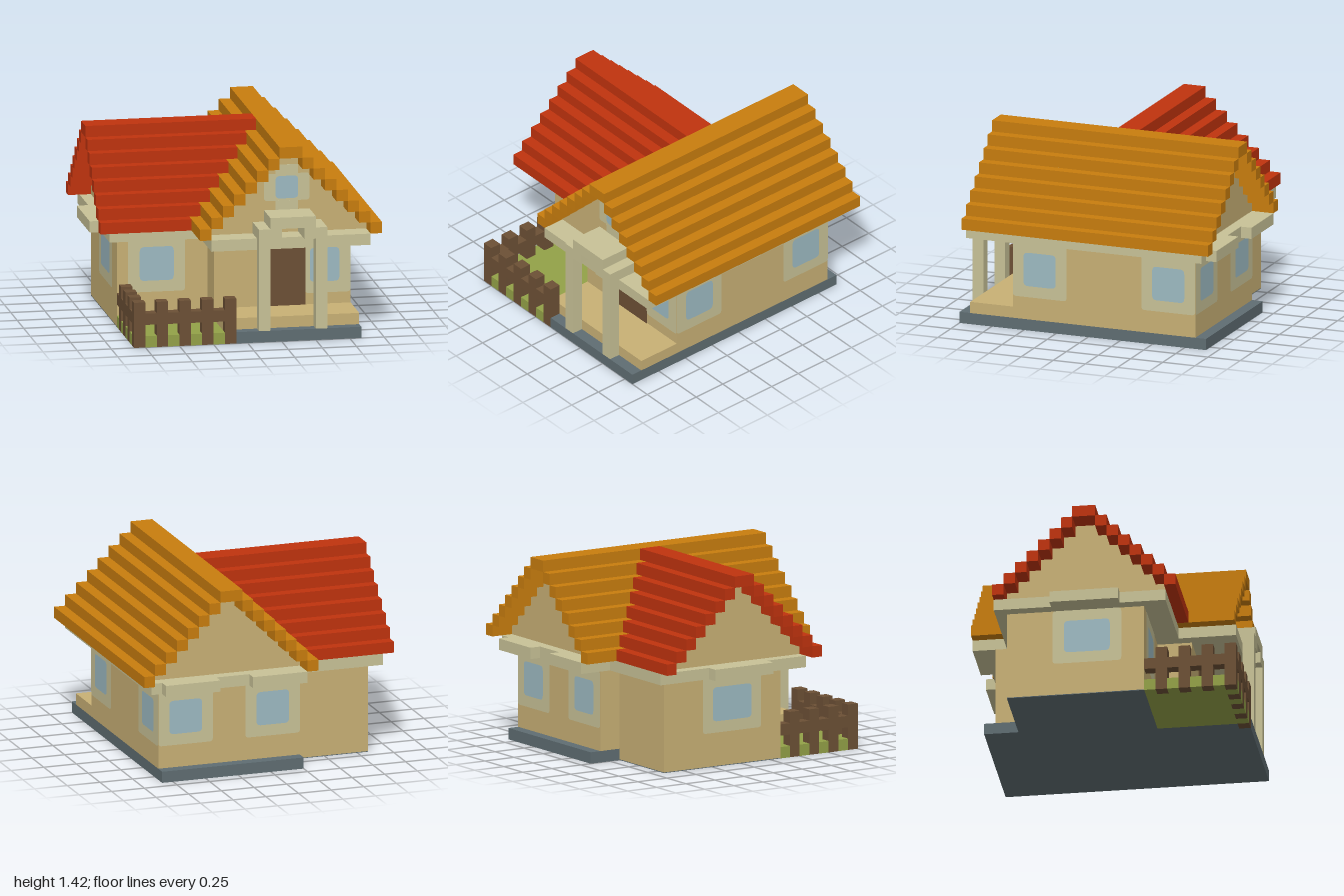
import * as THREE from 'three';

const U = 1 / 12; // one block
const mat = (name, color) => {
  const m = new THREE.MeshStandardMaterial({ color });
  m.name = name;
  return m;
};

export function createModel() {
  const house = new THREE.Group();
  house.name = 'house';
  const orange = mat('orange tiles', 0xc87d0e);
  const red = mat('red tiles', 0xc0330e);
  const tan = mat('tan plaster', 0xc8b075);
  const cream = mat('cream trim', 0xc8c297);
  const glass = mat('window glass', 0x9dbac2);
  const brown = mat('brown wood', 0x6c5035);
  const slate = mat('slate stone', 0x5f6d72);
  const grass = mat('grass', 0x93a147);

  // Box given by its limits in blocks
  const box = (name, m, x0, x1, y0, y1, z0, z1, parent = house) => {
    const mesh = new THREE.Mesh(new THREE.BoxGeometry((x1 - x0) * U, (y1 - y0) * U, (z1 - z0) * U), m);
    mesh.position.set((x0 + x1) / 2 * U, (y0 + y1) / 2 * U, (z0 + z1) / 2 * U);
    mesh.name = name;
    parent.add(mesh);
    return mesh;
  };
  const group = (name) => {
    const g = new THREE.Group();
    g.name = name;
    house.add(g);
    return g;
  };

  // Thin plate with rounded corners, centred on its own origin
  const plate = (name, m, w, h, r, lift, parent) => {
    const s = new THREE.Shape();
    const a = w / 2, b = h / 2;
    s.moveTo(-a + r, -b);
    s.lineTo(a - r, -b); s.quadraticCurveTo(a, -b, a, -b + r);
    s.lineTo(a, b - r); s.quadraticCurveTo(a, b, a - r, b);
    s.lineTo(-a + r, b); s.quadraticCurveTo(-a, b, -a, b - r);
    s.lineTo(-a, -b + r); s.quadraticCurveTo(-a, -b, -a + r, -b);
    const mesh = new THREE.Mesh(new THREE.ShapeGeometry(s, 4), m);
    mesh.scale.setScalar(U);
    mesh.position.z = lift;
    mesh.name = name;
    parent.add(mesh);
  };
  // Window: cream surround and glass, turned to face its wall
  const addWindow = (name, x, y, z, turn, w, h, gw, gh, shift = 0) => {
    const g = group(name);
    plate('windowSurround', cream, w, h, 0.3, 0.003, g);
    plate('windowGlass', glass, gw, gh, 0.4, 0.006, g);
    g.children[1].position.x = shift * U;
    g.position.set(x * U, y * U, z * U);
    g.rotation.y = turn;
  };

  // Foundation
  box('foundation', slate, -3, 10, 0, 1, -11, 4);
  box('porchFoundation', slate, -2, 10, 0, 1, 4, 11);
  box('frontStep', slate, -1, 10, 0, 1, 11, 12);
  box('wingFoundation', slate, -10, -3, 0, 0.06, -8, 4);

  // Walls
  box('mainWalls', tan, -2, 10, 1, 8, -10, 7);
  box('backCornerWall', tan, -3, -2, 1, 8, -10, -8);
  box('wingWalls', tan, -10, -2, 0.06, 8, -8, 4);
  box('porchFloor', tan, -2, 10, 1, 2, 7, 11);

  // Eaves trim, with blocks jutting out above the windows
  box('mainTrim', cream, -3, 11, 8, 9, -11, 11);
  box('wingTrim', cream, -11, -3, 8, 9, -9, 6);
  for (const [x0, x1] of [[-3, 2], [5, 10]]) box('backTrimBlock', cream, x0, x1, 8, 9, -12, -11);
  box('sideTrimBlock', cream, -12, -11, 8, 9, -4, 2);

  // Stepped roofs and the gable walls filling them
  const mainRoof = group('mainRoof');
  const wingRoof = group('wingRoof');
  const gables = group('gables');
  for (let k = 0; k < 8; k++) {
    const y = 9 + k;
    box('mainRoofStep', orange, -4 + k, -3 + k, y, y + 1, -12, 11, mainRoof);
    box('mainRoofStep', orange, 11 - k, 12 - k, y, y + 1, -12, 11, mainRoof);
    box('wingRoofStep', red, -12, -4 + k, y, y + 1, -9 + k, -8 + k, wingRoof);
    box('wingRoofStep', red, -12, -4 + k, y, y + 1, 6 - k, 7 - k, wingRoof);
    if (k < 7) {
      box('mainGableRow', tan, -3 + k, 11 - k, y, y + 1, -10, 9, gables);
      box('wingGableRow', tan, -10, -4 + k, y, y + 1, -8 + k, 6 - k, gables);
    }
  }

  // Windows
  const H = Math.PI / 2;
  addWindow('frontWingWindow', -6.5, 5.5, 4, 0, 5, 5, 3, 3);
  addWindow('frontCornerWindow', 8, 5.5, 7, 0, 4, 5, 2.6, 3, -0.3);
  addWindow('sideFrontWindow', 10, 5.5, 4.5, H, 5, 5, 3, 3);
  addWindow('sideBackWindow', 10, 5.5, -7.5, H, 5, 5, 3, 3);
  addWindow('backWindow', 7.5, 5.5, -10, 2 * H, 5, 5, 3, 3);
  addWindow('backWindow', -0.5, 5.5, -10, 2 * H, 5, 5, 3, 3);
  addWindow('wingSideWindow', -10, 5.5, -1, -H, 6, 5, 4, 3);
  addWindow('gableWindow', 4, 13, 9, 0, 4, 2.4, 2, 2);
  box('gableWindowHead', cream, 3, 5, 14.2, 15, 9, 9.04);
  box('gableWindowSill', cream, 3, 5, 11, 11.8, 9, 9.04);

  // Door
  box('door', brown, 2, 6, 2, 8, 7, 7.08);

  // Porch arch
  const arch = group('porchArch');
  for (const s of [-1, 1]) {
    const post = 4 + 2.5 * s, shoulder = 4 + 2 * s;
    box('porchPost', cream, post - 0.5, post + 0.5, 1, 9, 11, 12, arch);
    box('archShoulder', cream, shoulder - 1, shoulder + 1, 9, 10, 9, 12, arch);
  }
  box('archTop', cream, 2, 6, 10, 11, 9, 12, arch);

  // Garden with a picket fence
  box('lawn', grass, -9, -2, 0, 1, 4, 11);
  const fence = group('fence');
  for (let i = 0; i < 5; i++) {
    const x = -10 + 2 * i;
    box('frontPicket', brown, x, x + 1, 0, 4, 11, 12, fence);
    if (i < 4) {
      box('lawnEdge', grass, x + 1, x + 2, 0, 1, 11, 12);
      box('frontRail', brown, x + 1, x + 2, 2, 3, 11, 12, fence);
    }
  }
  for (let z = 5; z < 11; z += 2) {
    box('sidePicket', brown, -10, -9, 0, 4, z, z + 1, fence);
    box('sideRail', brown, -10, -9, 2, 3, z + 1, z + 2, fence);
    box('lawnEdge', grass, -10, -9, 0, 1, z + 1, z + 2);
  }
  box('sideRail', brown, -10, -9, 2, 3, 4, 5, fence);
  box('lawnEdge', grass, -10, -9, 0, 1, 4, 5);

  return house;
}
